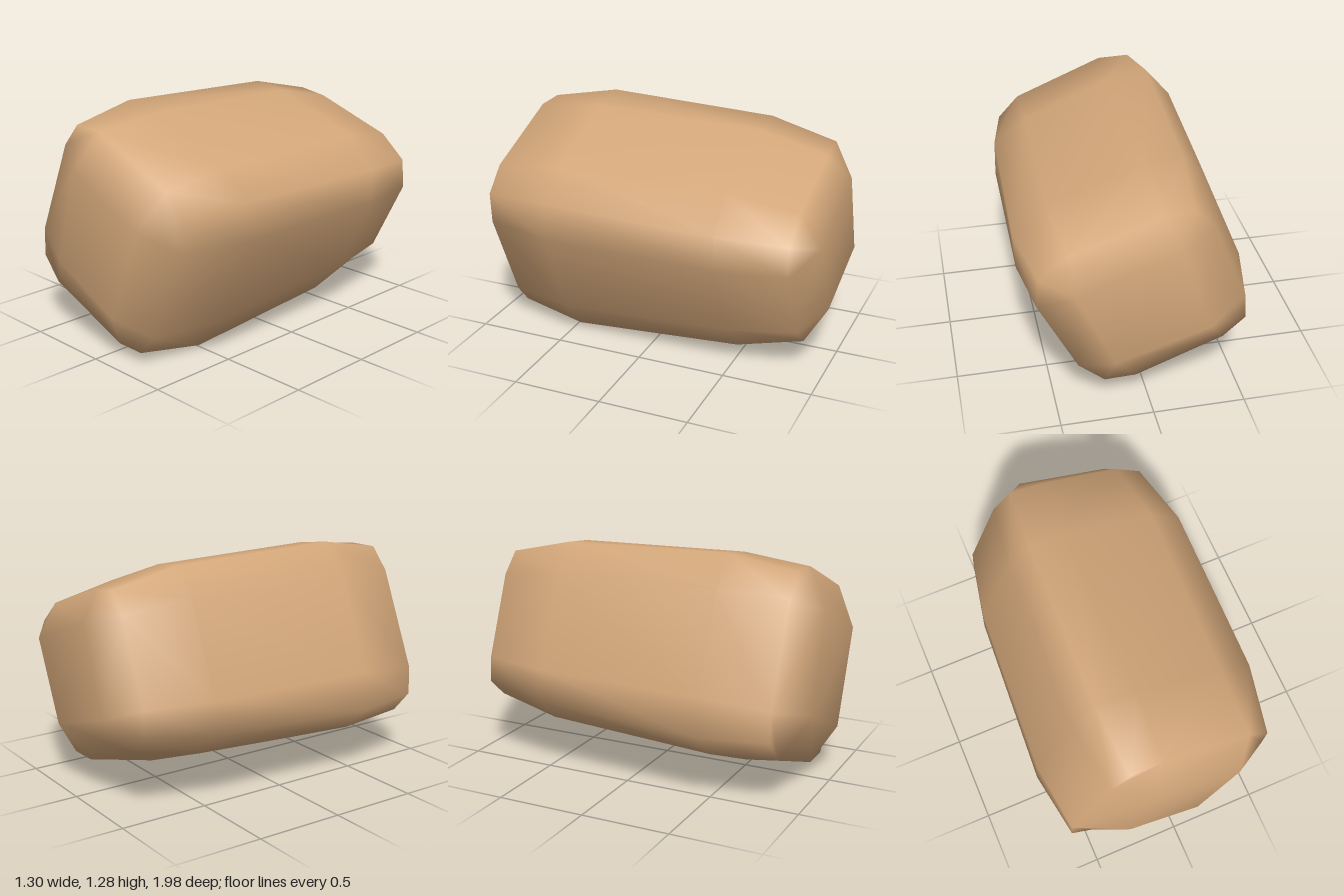
import * as THREE from 'three';

// Cross-sections from front to back. Each has three points per rounded corner,
// running clockwise as seen from the front, starting at the upper left.
const rings = [
  { z: 0.87, p: [-0.36, 1.09, -0.25, 1.215, -0.07, 1.21, 0.44, 1.0, 0.56, 0.87, 0.55, 0.7,
    0.32, 0.18, 0.22, 0.065, 0.05, 0.065, -0.48, 0.27, -0.595, 0.4, -0.59, 0.56] },
  { z: 0.49, p: [-0.42, 1.12, -0.28, 1.285, -0.05, 1.25, 0.44, 1.04, 0.63, 0.9, 0.635, 0.69,
    0.44, 0.2, 0.26, 0, 0.03, 0.02, -0.49, 0.24, -0.655, 0.385, -0.64, 0.6] },
  { z: -0.49, p: [-0.38, 1.1, -0.25, 1.255, -0.05, 1.23, 0.47, 1.05, 0.65, 0.88, 0.64, 0.68,
    0.44, 0.25, 0.25, 0.06, 0.05, 0.08, -0.45, 0.28, -0.6, 0.42, -0.59, 0.6] },
  { z: -0.87, p: [-0.33, 1.05, -0.22, 1.165, -0.05, 1.14, 0.42, 0.98, 0.57, 0.85, 0.585, 0.69,
    0.38, 0.28, 0.24, 0.16, 0.07, 0.165, -0.4, 0.35, -0.52, 0.46, -0.51, 0.6] },
];
// Inner corners of the two end faces
const caps = [
  { z: 0.99, p: [-0.15, 1.0, 0.35, 0.79, 0.14, 0.27, -0.29, 0.47] },
  { z: -0.99, p: [-0.13, 1.0, 0.4, 0.8, 0.2, 0.36, -0.3, 0.52] },
];

function createBodyGeometry() {
  const positions = [];
  const index = [];
  const quad = (a, b, c, d) => index.push(a, b, c, a, c, d);
  for (const { z, p } of [...rings, ...caps]) {
    for (let i = 0; i < p.length; i += 2) positions.push(p[i], p[i + 1], z);
  }
  const n = 12;

  // Long sides
  for (let r = 0; r < rings.length - 1; r++) {
    for (let i = 0; i < n; i++) {
      const j = (i + 1) % n;
      quad(r * n + i, r * n + j, (r + 1) * n + j, (r + 1) * n + i);
    }
  }

  // Rounded ends: centre, four edge strips and four corners
  const addEnd = (ring, cap, flip) => {
    const face = (...v) => quad(...(flip ? v.reverse() : v));
    face(cap, cap + 1, cap + 2, cap + 3);
    for (let k = 0; k < 4; k++) {
      const c = cap + k;
      const r = ring + 3 * k;
      face(c, r, r + 1, r + 2);
      face(c, r + 2, ring + ((3 * k + 3) % n), cap + ((k + 1) % 4));
    }
  };
  const capStart = rings.length * n;
  addEnd(0, capStart, true);
  addEnd((rings.length - 1) * n, capStart + 4, false);

  const geometry = new THREE.BufferGeometry();
  geometry.setAttribute('position', new THREE.Float32BufferAttribute(positions, 3));
  geometry.setIndex(index);
  geometry.computeVertexNormals();
  return geometry;
}

export function createModel() {
  const group = new THREE.Group();
  const body = new THREE.Mesh(
    createBodyGeometry(),
    new THREE.MeshStandardMaterial({ color: 0xd2a679 })
  );
  body.name = 'roundedBlock';
  group.add(body);
  return group;
}
